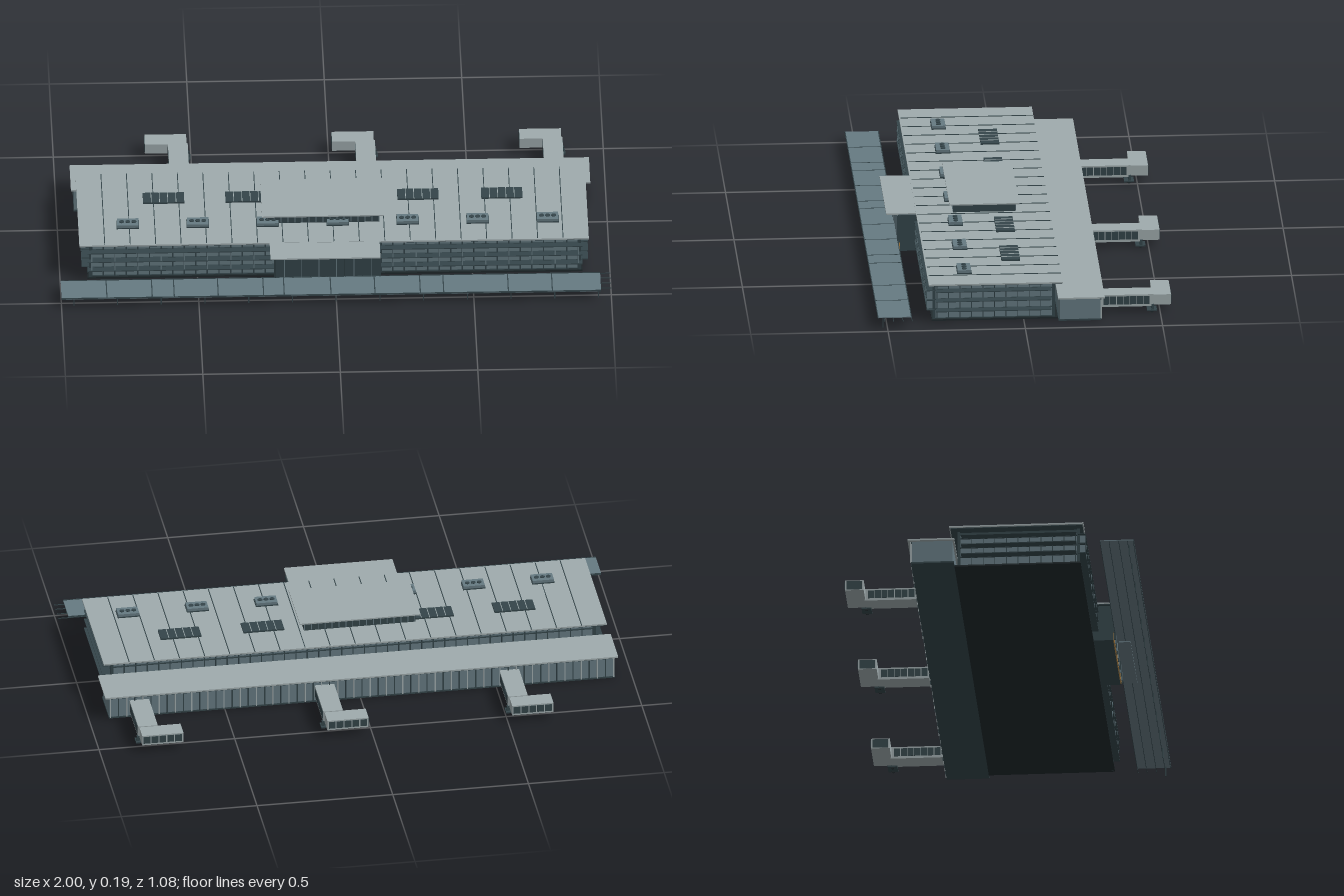
import * as THREE from 'three';

export function createModel() {
  const model = new THREE.Group();
  const mat = (name, color, extra = {}) => {
    const m = new THREE.MeshStandardMaterial({ color, ...extra });
    m.name = name;
    return m;
  };
  const roofGrey = mat('roof grey', 0x9fabad);
  const glass = mat('blue glass', 0x667a82);
  const dark = mat('dark metal', 0x34454a);
  const base = mat('black base', 0x1f292c);
  const amber = mat('amber light', 0xb88a48);

  // Box given by its minimum and maximum on each axis
  const box = (parent, name, m, x0, x1, y0, y1, z0, z1) => {
    const mesh = new THREE.Mesh(new THREE.BoxGeometry(x1 - x0, y1 - y0, z1 - z0), m);
    mesh.position.set((x0 + x1) / 2, (y0 + y1) / 2, (z0 + z1) / 2);
    mesh.name = name;
    parent.add(mesh);
    return mesh;
  };
  const group = (name) => {
    const g = new THREE.Group();
    g.name = name;
    model.add(g);
    return g;
  };

  // Main hall: glass body with slabs, mullions and sun shades
  const hall = group('mainHall');
  box(hall, 'foundation', base, -0.9, 0.9, 0, 0.006, -0.125, 0.335);
  box(hall, 'glassBody', glass, -0.885, 0.885, 0.006, 0.13, -0.11, 0.322);
  box(hall, 'topBand', dark, -0.887, 0.887, 0.13, 0.142, -0.113, 0.325);
  for (const y of [0.006, 0.042, 0.08, 0.117]) {
    box(hall, 'floorBand', dark, -0.89, 0.89, y - 0.002, y + 0.002, -0.115, 0.327);
  }
  for (let i = 0; i <= 42; i++) {
    const x = -0.885 + (i * 1.77) / 42;
    box(hall, 'frontMullion', dark, x - 0.0025, x + 0.0025, 0.005, 0.13, 0.32, 0.328);
    box(hall, 'backMullion', dark, x - 0.002, x + 0.002, 0.005, 0.13, -0.114, -0.108);
  }
  for (let i = 0; i <= 10; i++) {
    const z = -0.105 + i * 0.042;
    for (const s of [-1, 1]) {
      box(hall, 'sideMullion', dark, s * 0.886 - 0.003, s * 0.886 + 0.003, 0.005, 0.13, z - 0.0015, z + 0.0015);
    }
  }
  // Projecting shades on the front and ends
  for (const y of [0.042, 0.08, 0.117]) {
    box(hall, 'frontShade', dark, -0.9, 0.9, y - 0.0015, y + 0.0015, 0.325, 0.353);
    for (const s of [-1, 1]) {
      box(hall, 'endShade', dark, s * 0.903 - 0.018, s * 0.903 + 0.018, y - 0.0015, y + 0.0015, -0.1, 0.32);
    }
  }
  for (let i = 0; i <= 21; i++) {
    const x = -0.885 + (i * 1.77) / 21;
    box(hall, 'shadeFin', glass, x - 0.002, x + 0.002, 0.045, 0.117, 0.327, 0.351);
  }
  for (const s of [-1, 1]) {
    for (const z of [-0.11, 0.327]) {
      box(hall, 'cornerColumn', dark, s * 0.89 - 0.005, s * 0.89 + 0.005, 0, 0.142, z - 0.005, z + 0.005);
    }
  }

  // Main roof with standing seams
  const roof = group('mainRoof');
  box(roof, 'roofEdge', dark, -0.925, 0.918, 0.14, 0.143, -0.138, 0.343);
  box(roof, 'roofSlab', roofGrey, -0.93, 0.923, 0.143, 0.149, -0.142, 0.347);
  for (let i = 1; i < 20; i++) {
    const x = -0.93 + i * 0.0926;
    box(roof, 'roofSeam', dark, x - 0.0015, x + 0.0015, 0.149, 0.151, -0.14, 0.342);
  }

  // Raised roof house
  const house = group('roofHouse');
  box(house, 'houseBody', dark, -0.245, 0.165, 0.149, 0.182, -0.015, 0.212);
  for (let i = 0; i <= 16; i++) {
    const x = -0.243 + i * 0.0254;
    for (const z of [-0.015, 0.212]) {
      box(house, 'houseMullion', glass, x - 0.0015, x + 0.0015, 0.152, 0.18, z - 0.002, z + 0.002);
    }
  }
  box(house, 'houseRoof', roofGrey, -0.262, 0.182, 0.181, 0.186, -0.028, 0.226);

  // Skylights
  for (const x of [-0.615, -0.315, 0.31, 0.615]) {
    const sky = group('skylight');
    box(sky, 'skylightPane', dark, x - 0.075, x + 0.075, 0.149, 0.155, 0, 0.068);
    for (let i = 1; i < 5; i++) {
      const bx = x - 0.075 + i * 0.03;
      box(sky, 'skylightBar', roofGrey, bx - 0.0012, bx + 0.0012, 0.153, 0.1565, 0, 0.068);
    }
  }

  // Roof cooling units with three fans each
  for (let i = 0; i < 7; i++) {
    const x = -0.75 + i * 0.2545;
    const unit = group('coolingUnit');
    box(unit, 'unitBase', dark, x - 0.041, x + 0.041, 0.149, 0.153, 0.184, 0.237);
    box(unit, 'unitBody', glass, x - 0.039, x + 0.039, 0.153, 0.163, 0.186, 0.235);
    for (const d of [-0.022, 0, 0.022]) {
      const fan = new THREE.Mesh(new THREE.CylinderGeometry(0.009, 0.009, 0.003, 12), dark);
      fan.position.set(x + d, 0.164, 0.21);
      fan.name = 'unitFan';
      unit.add(fan);
    }
  }

  // Entrance block, amber doors and canopy
  const entrance = group('entrance');
  box(entrance, 'entranceBlock', dark, -0.222, 0.165, 0.036, 0.142, 0.325, 0.41);
  box(entrance, 'entranceSides', dark, -0.222, 0.165, 0.004, 0.036, 0.325, 0.406);
  box(entrance, 'doorGlow', amber, -0.218, 0.161, 0.006, 0.035, 0.406, 0.41);
  for (let i = 0; i <= 12; i++) {
    const x = -0.218 + i * 0.0316;
    box(entrance, 'entranceFin', i % 2 ? glass : dark, x - 0.0015, x + 0.0015, 0.006, 0.138, 0.408, 0.416);
  }
  box(entrance, 'canopyRoof', roofGrey, -0.238, 0.162, 0.143, 0.148, 0.32, 0.455);
  box(entrance, 'canopyEdge', dark, -0.235, 0.159, 0.141, 0.143, 0.33, 0.452);
  box(entrance, 'entranceStep', glass, -0.2, 0.15, 0.004, 0.009, 0.425, 0.468);

  // Elevated roadway with joints, rails and posts
  const road = group('roadway');
  box(road, 'roadDeck', glass, -1, 0.962, 0.038, 0.0415, 0.412, 0.535);
  for (const z of [0.412, 0.445, 0.48, 0.512, 0.533]) {
    box(road, 'roadBeam', dark, -1, z > 0.53 ? 0.962 : 1, 0.036, 0.039, z - 0.001, z + 0.001);
  }
  for (const z of [0.413, 0.534]) {
    box(road, 'roadKerb', dark, -1, 0.962, 0.0395, 0.043, z - 0.0015, z + 0.0015);
  }
  for (let i = 0; i < 13; i++) {
    const x = -0.955 + i * 0.159;
    box(road, 'roadPost', dark, x - 0.002, x + 0.002, 0, 0.038, 0.514, 0.518);
  }
  for (const x of [-0.835, -0.67, -0.59, -0.43, -0.265, -0.19, -0.02, 0.14, 0.305, 0.39, 0.625, 0.785]) {
    box(road, 'roadJoint', dark, x - 0.002, x + 0.002, 0.041, 0.0422, 0.413, 0.534);
  }

  // Rear concourse with vertical fins
  const pier = group('rearConcourse');
  box(pier, 'pierBody', glass, -0.935, 0.925, 0.004, 0.088, -0.278, -0.13);
  box(pier, 'pierBase', dark, -0.937, 0.927, 0, 0.006, -0.28, -0.125);
  box(pier, 'pierRoof', roofGrey, -0.947, 0.942, 0.088, 0.094, -0.293, -0.123);
  box(pier, 'pierBackBand', dark, -0.936, 0.926, 0.08, 0.088, -0.281, -0.277);
  for (let i = 0; i <= 62; i++) {
    const x = -0.932 + i * 0.0299;
    box(pier, 'pierFin', i % 2 ? dark : roofGrey, x - 0.002, x + 0.002, 0.005, 0.088, -0.284, -0.277);
  }

  // Boarding bridges: arm, turned head, windows and support
  for (const x of [-0.548, 0.133, 0.815]) {
    const bridge = group('boardingBridge');
    box(bridge, 'bridgeArm', roofGrey, x - 0.036, x + 0.036, 0.022, 0.068, -0.475, -0.278);
    box(bridge, 'bridgeHead', roofGrey, x - 0.12, x + 0.032, 0.026, 0.065, -0.54, -0.472);
    for (const s of [-1, 1]) {
      for (let i = 0; i < 7; i++) {
        const z = -0.462 + i * 0.0245;
        box(bridge, 'armWindow', dark, x + s * 0.036 - 0.001, x + s * 0.036 + 0.001, 0.031, 0.062, z, z + 0.022);
      }
    }
    for (let i = 0; i < 5; i++) {
      const wx = x - 0.114 + i * 0.029;
      box(bridge, 'headWindow', dark, wx, wx + 0.025, 0.033, 0.06, -0.5415, -0.5395);
    }
    box(bridge, 'headDoor', dark, x - 0.1215, x - 0.1195, 0.029, 0.062, -0.535, -0.478);
    box(bridge, 'supportLeg', dark, x + 0.026, x + 0.042, 0.008, 0.03, -0.478, -0.468);
    box(bridge, 'supportFoot', dark, x, x + 0.046, 0.006, 0.011, -0.488, -0.452);
    for (const wx of [x + 0.006, x + 0.04]) {
      const wheel = new THREE.Mesh(new THREE.CylinderGeometry(0.006, 0.006, 0.006, 10), base);
      wheel.rotation.z = Math.PI / 2;
      wheel.position.set(wx, 0.006, -0.47);
      wheel.name = 'supportWheel';
      bridge.add(wheel);
    }
  }
  return model;
}
